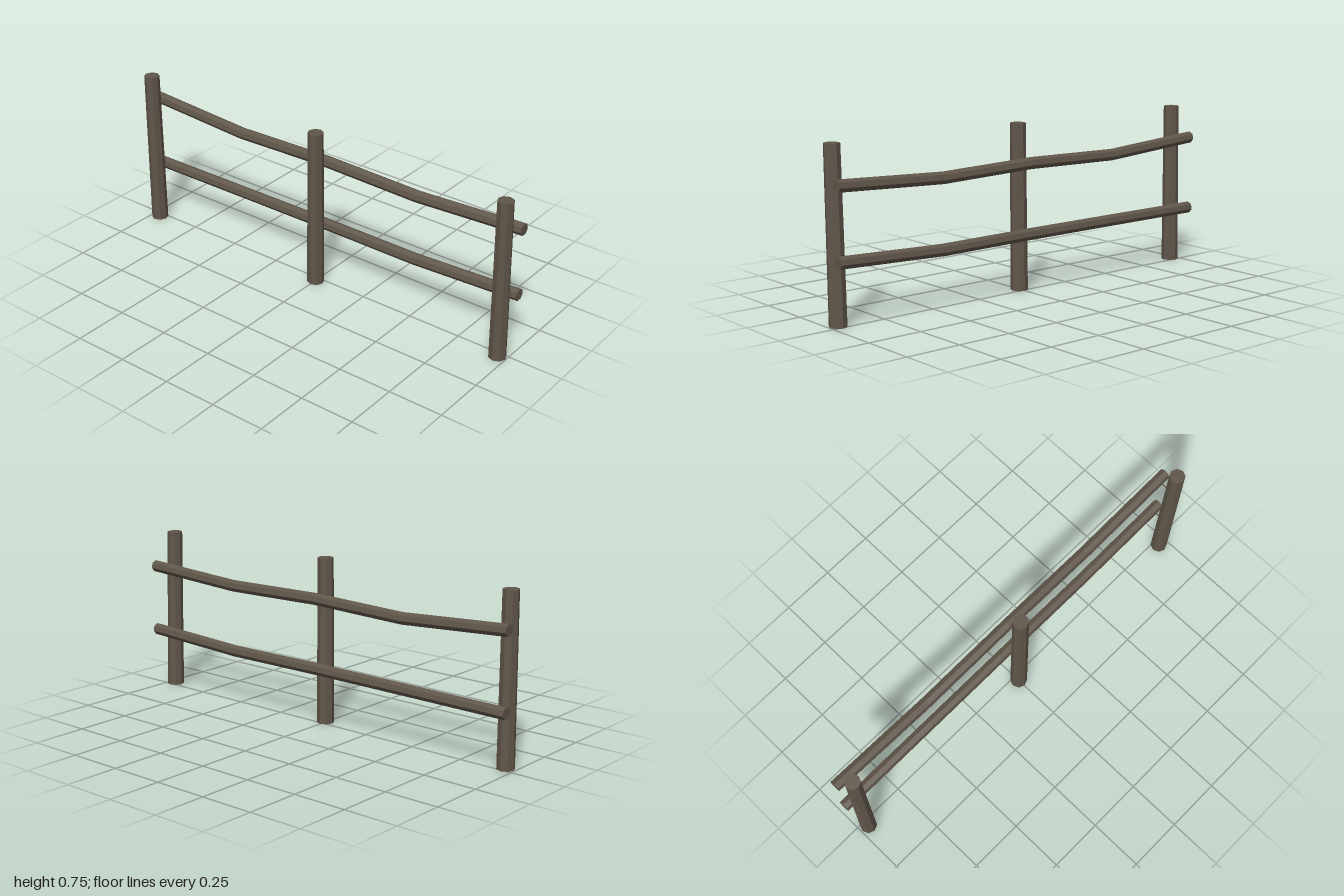
import * as THREE from 'three';
import { mergeGeometries } from 'three/addons/utils/BufferGeometryUtils.js';

const wood = new THREE.MeshStandardMaterial({ color: 0x60564a, side: THREE.DoubleSide });
wood.name = 'weatheredWood';

// Unshared vertices give every facet its own flat normal.
function faceted(geometry) {
  const flat = geometry.toNonIndexed();
  flat.computeVertexNormals();
  return flat;
}

function addMesh(group, name, geometry) {
  const mesh = new THREE.Mesh(geometry, wood);
  mesh.name = name;
  group.add(mesh);
  return mesh;
}

// Tapered, leaning eight-sided post, hollow underneath; foot and head are [x, z].
function postGeometry(foot, head, height) {
  const rTop = 0.035, rFoot = 0.0385;
  const sides = new THREE.CylinderGeometry(rTop, rFoot, height, 8, 1, true);
  const cap = new THREE.CircleGeometry(rTop, 8).rotateX(-Math.PI / 2).translate(0, height / 2, 0);
  const geometry = mergeGeometries([sides, cap]).translate(0, height / 2, 0);
  const p = geometry.attributes.position;
  for (let i = 0; i < p.count; i++) {
    const t = p.getY(i) / height;
    p.setX(i, p.getX(i) + THREE.MathUtils.lerp(foot[0], head[0], t));
    p.setZ(i, p.getZ(i) + THREE.MathUtils.lerp(foot[1], head[1], t));
  }
  return faceted(geometry);
}

// Seven-sided rail along z, bent at its stations from front to back.
function railGeometry(heights) {
  const stations = [1, 0.48, 0, -0.48, -1];
  const geometry = new THREE.CylinderGeometry(0.027, 0.027, 2, 7, 4, false, Math.PI);
  geometry.rotateX(Math.PI / 2);
  const p = geometry.attributes.position;
  for (let i = 0; i < p.count; i++) {
    const k = Math.round((1 - p.getZ(i)) * 2);
    p.setXYZ(i, p.getX(i) + 0.0485, p.getY(i) + heights[k], stations[k]);
  }
  return faceted(geometry);
}

export function createModel() {
  const fence = new THREE.Group();
  fence.name = 'railFence';

  // Posts
  const posts = [
    ['frontPost', [-0.025, 0.96], [-0.042, 0.959]],
    ['middlePost', [-0.025, 0.002], [-0.03, 0.006]],
    ['backPost', [-0.025, -0.957], [-0.029, -0.953]],
  ];
  for (const [name, foot, head] of posts) addMesh(fence, name, postGeometry(foot, head, 0.747));

  // Rails
  addMesh(fence, 'upperRail', railGeometry([0.589, 0.565, 0.577, 0.566, 0.6]));
  addMesh(fence, 'lowerRail', railGeometry([0.281, 0.26, 0.263, 0.262, 0.26]));

  // Thin pegs holding the rails to the posts
  for (const z of [0.957, 0.003, -0.957]) {
    for (const y of [0.581, 0.279]) {
      const peg = new THREE.CylinderGeometry(0.003, 0.003, 0.06, 6).rotateZ(Math.PI / 2);
      addMesh(fence, 'peg', faceted(peg)).position.set(0.01, y, z);
    }
  }
  return fence;
}
